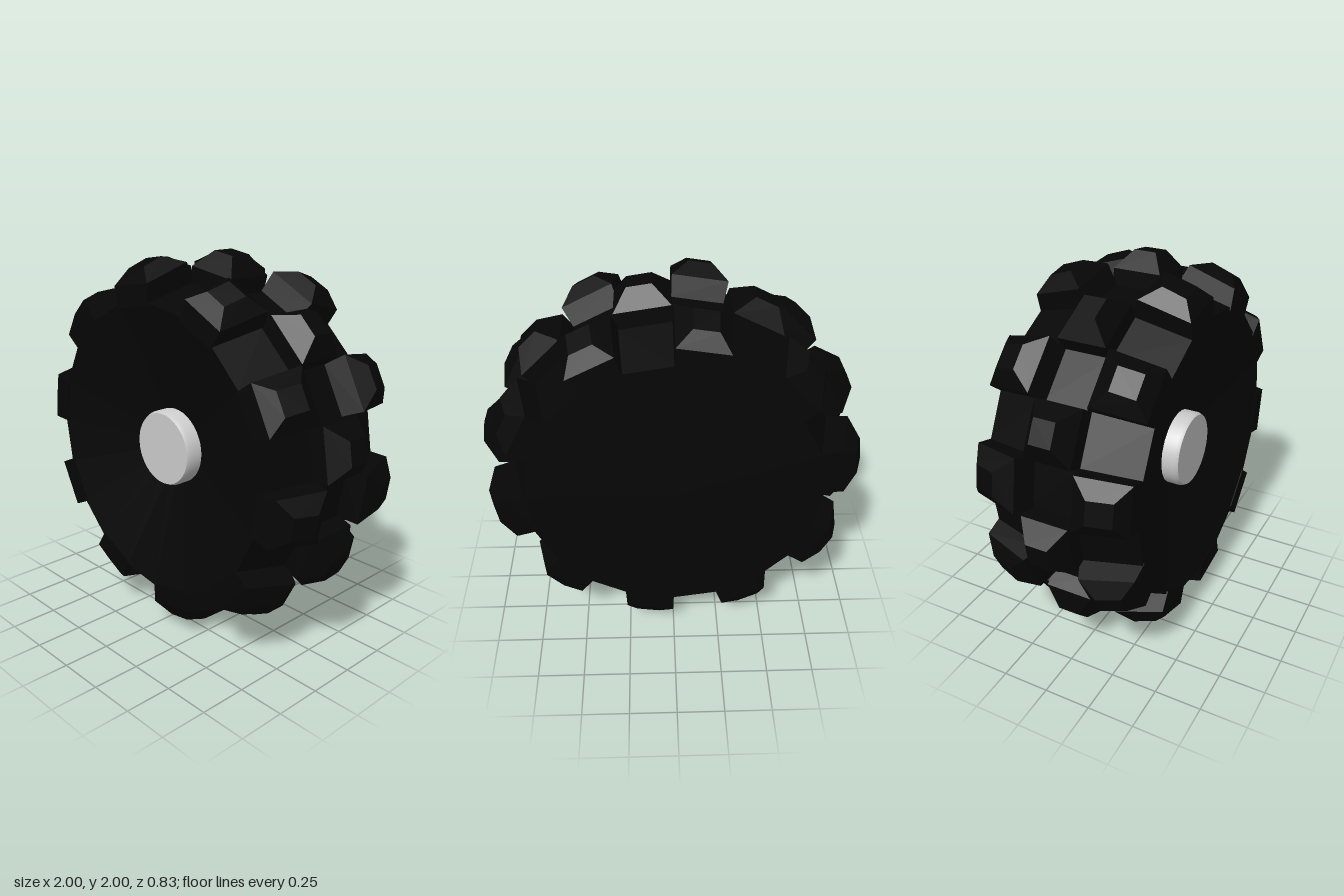
import * as THREE from 'three';
import { toCreasedNormals } from 'three/addons/utils/BufferGeometryUtils.js';

const STEP = Math.PI / 10; // 20 positions round the wheel, two staggered sets of 10
const TAN = Math.tan(STEP / 2);

const rubber = new THREE.MeshStandardMaterial({ color: 0x060606, flatShading: true });
const metal = new THREE.MeshStandardMaterial({ color: 0xc2c2c2 });

// Profile of [radius, z] points turned about the z axis
function turned(profile, segments) {
  const geometry = new THREE.LatheGeometry(profile.map(([r, z]) => new THREE.Vector2(r, z)), segments);
  return geometry.rotateX(Math.PI / 2);
}

// Tread knob from stacked four-cornered sections: front radius and z, back radius and z, half widths
function knobGeometry(sections) {
  const rings = sections.map(({ front: [rf, zf], back: [rb, zb], fill, half }) => {
    const hf = half ?? rf * TAN * fill;
    const hb = half ?? rb * TAN * fill;
    return [[-hf, rf, zf], [hf, rf, zf], [hb, rb, zb], [-hb, rb, zb]];
  });
  const positions = [];
  const quad = (a, b, c, d) => positions.push(...a, ...b, ...c, ...a, ...c, ...d);
  for (let k = 0; k < rings.length - 1; k++) {
    for (let i = 0; i < 4; i++) {
      const j = (i + 1) % 4;
      quad(rings[k][i], rings[k][j], rings[k + 1][j], rings[k + 1][i]);
    }
  }
  quad(...rings[rings.length - 1]);
  quad(...[...rings[0]].reverse());
  const geometry = new THREE.BufferGeometry();
  geometry.setAttribute('position', new THREE.Float32BufferAttribute(positions, 3));
  geometry.computeVertexNormals();
  return geometry;
}

// Ten copies of a knob round the wheel
function knobRow(name, sections, firstAngle) {
  const row = new THREE.Group();
  row.name = name;
  const geometry = knobGeometry(sections);
  for (let i = 0; i < 10; i++) {
    const knob = new THREE.Mesh(geometry, rubber);
    knob.name = 'treadKnob';
    knob.rotation.z = firstAngle + i * 2 * STEP;
    row.add(knob);
  }
  return row;
}

export function createModel() {
  const wheel = new THREE.Group();
  wheel.name = 'wheel';
  const parts = new THREE.Group();
  parts.name = 'wheelParts';
  parts.position.y = 1;
  wheel.add(parts);

  // Twenty-sided tyre body with sloping shoulders and a dished front
  const c = 1 / Math.cos(STEP / 2);
  const body = new THREE.Mesh(turned([
    [0, -0.413], [0.755 * c, -0.413], [0.825 * c, -0.13],
    [0.825 * c, 0.13], [0.755 * c, 0.413], [0.2, 0.25], [0, 0.25],
  ], 20).toNonIndexed(), rubber);
  body.name = 'tyreBody';
  parts.add(body);

  // Middle row of knobs
  parts.add(knobRow('middleTread', [
    { front: [0.78, 0.13], back: [0.78, -0.13], fill: 1 },
    { front: [0.91, 0.127], back: [0.91, -0.127], fill: 0.975 },
    { front: [1.002, 0.058], back: [1.002, -0.058], half: 0.062 },
  ], -STEP / 2));

  // Outer rows, tilted over the shoulders and staggered against the middle row
  const outer = [
    { front: [0.74, 0.416], back: [0.83, 0.11], fill: 1 },
    { front: [0.85, 0.416], back: [0.93, 0.155], fill: 0.97 },
    { front: [0.93, 0.365], back: [0.972, 0.245], half: 0.062 },
  ];
  const flip = ([r, z]) => [r, -z];
  const mirrored = outer.map((section) => ({
    ...section, front: flip(section.back), back: flip(section.front),
  }));
  parts.add(knobRow('frontTread', outer, STEP / 2));
  parts.add(knobRow('backTread', mirrored, STEP / 2));

  // Hub with a chamfered rim, sunk in the dish
  const hub = new THREE.Mesh(toCreasedNormals(turned([
    [0, 0.15], [0.2, 0.15], [0.2, 0.32], [0.19, 0.34], [0, 0.34],
  ], 40), 0.5), metal);
  hub.name = 'hub';
  parts.add(hub);

  return wheel;
}
